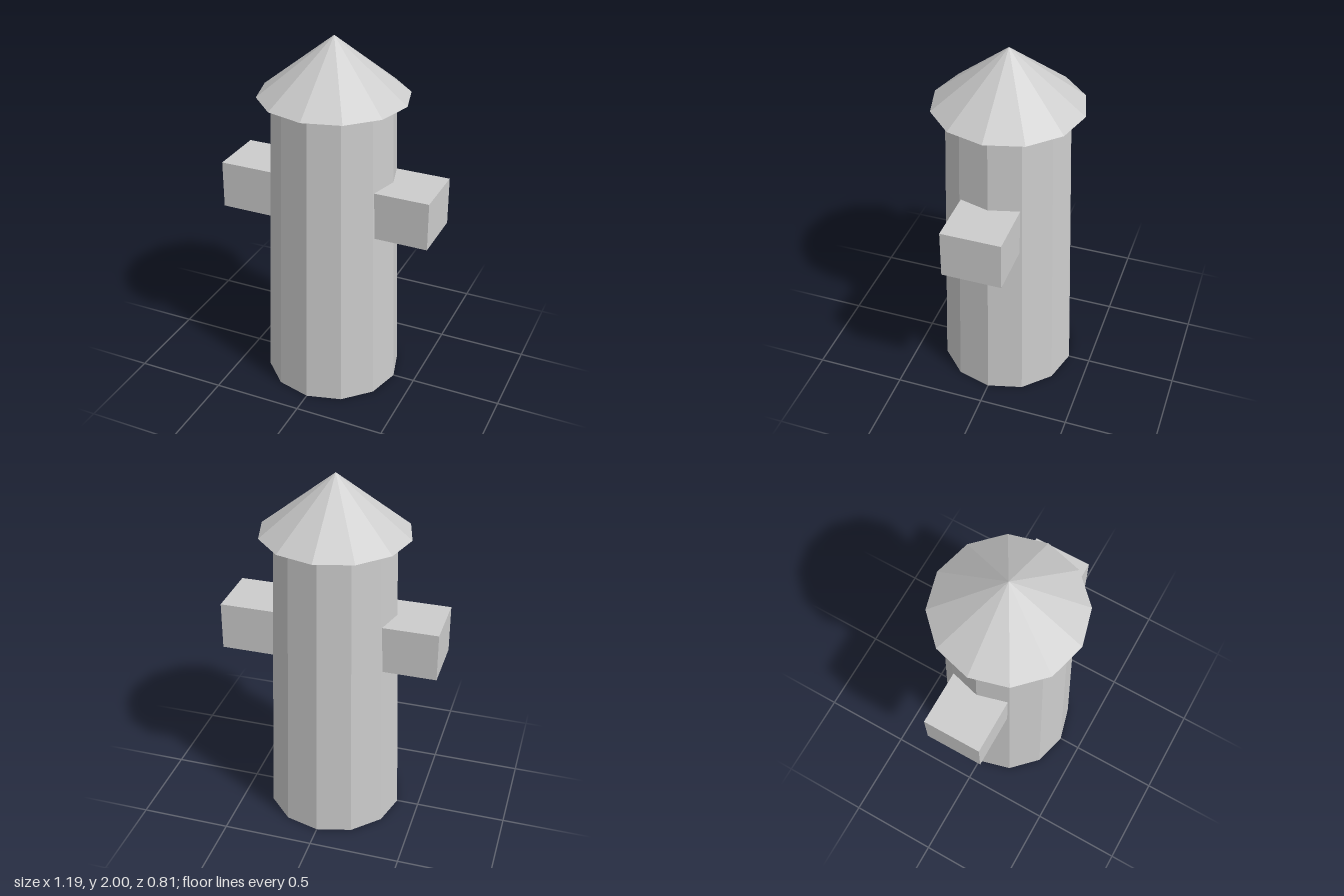
import * as THREE from 'three';

export function createModel() {
  const model = new THREE.Group();
  const lightGrey = new THREE.MeshStandardMaterial({ color: 0xcccccc });
  lightGrey.name = 'lightGrey';

  const SIDES = 12;
  const eaveY = 1.68;

  // Adds a part with one hard-edged normal per face
  function addPart(name, geometry, x, y) {
    const flat = geometry.toNonIndexed();
    flat.computeVertexNormals();
    const mesh = new THREE.Mesh(flat, lightGrey);
    mesh.name = name;
    mesh.position.set(x, y, 0);
    model.add(mesh);
  }

  // Tapered twelve-sided tower
  addPart('towerBody', new THREE.CylinderGeometry(0.327, 0.377, eaveY, SIDES), 0, eaveY / 2);

  // Overhanging pointed roof with a closed underside
  const roofHeight = 2 - eaveY;
  addPart('roof', new THREE.ConeGeometry(0.403, roofHeight, SIDES), 0, eaveY + roofHeight / 2);

  // Box arms on both sides, running into the tower wall
  const inner = 0.2, outer = 0.595, bottom = 0.98, top = 1.245;
  for (const [name, side] of [['leftArm', 1], ['rightArm', -1]]) {
    addPart(name, new THREE.BoxGeometry(outer - inner, top - bottom, 0.322),
      side * (inner + outer) / 2, (bottom + top) / 2);
  }

  return model;
}
